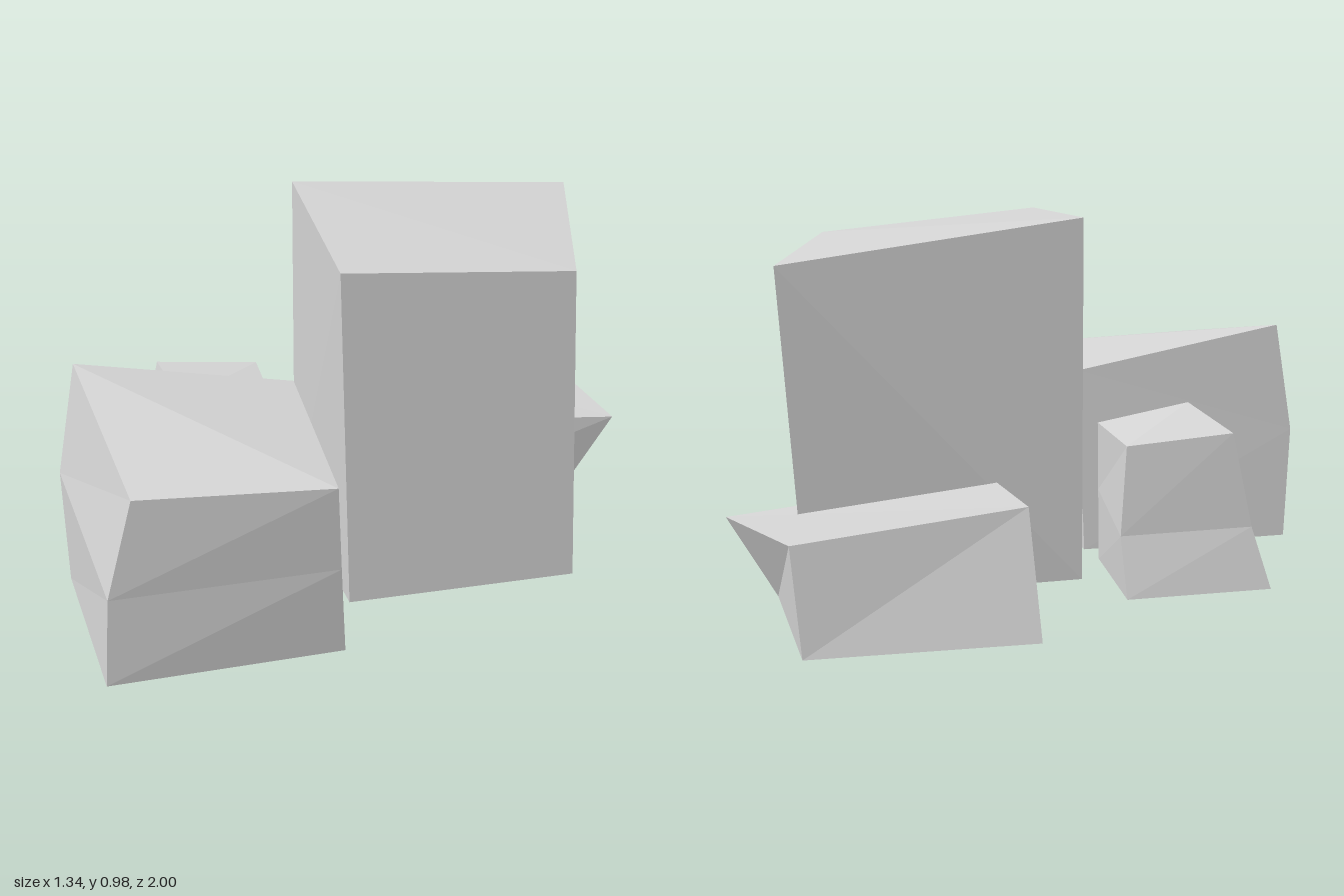
import * as THREE from 'three';

// Each rock is a hollow stack of four-cornered rings, bottom to top, open underneath.
// Ring corners run left, front, right, back; each corner is [x, y, z].
// flips[level] lists the sides whose quad is split along the other diagonal.
const rocks = {
  tallRock: {
    rings: [
      [[-0.2, 0.002, -0.09], [0.235, 0.003, 0.335], [0.67, 0.002, -0.115], [0.315, 0.003, -0.63]],
      [[-0.2, 0.977, -0.09], [0.235, 0.933, 0.382], [0.662, 0.882, -0.065], [0.317, 0.89, -0.727]],
    ],
    flips: [[3]],
    flipTop: false,
  },
  frontRock: {
    rings: [
      [[-0.48, 0, 0.6], [-0.06, 0, 1], [0.35, 0, 0.55], [-0.06, 0, 0.17]],
      [[-0.49, 0.315, 0.61], [-0.045, 0.24, 1], [0.363, 0.25, 0.59], [-0.05, 0.25, 0.167]],
      [[-0.455, 0.62, 0.575], [0.01, 0.505, 0.965], [0.375, 0.487, 0.625], [-0.04, 0.515, 0.165]],
    ],
    flips: [[], [3]],
    flipTop: false,
  },
  smallRock: {
    rings: [
      [[-0.67, 0, 0.095], [-0.36, 0, 0.34], [-0.14, 0, 0.11], [-0.39, 0, -0.185]],
      [[-0.615, 0.165, 0.085], [-0.35, 0.31, 0.31], [-0.14, 0.2, 0.105], [-0.355, 0.16, -0.16]],
      [[-0.573, 0.42, 0.05], [-0.33, 0.437, 0.27], [-0.14, 0.39, 0.1], [-0.36, 0.397, -0.14]],
    ],
    flips: [[0], []],
    flipTop: true,
  },
  backRock: {
    rings: [
      [[-0.38, 0, -0.6], [0.035, 0, -0.2], [0.41, 0, -0.625], [0.045, 0, -1]],
      [[-0.31, 0.322, -0.55], [0.035, 0.28, -0.19], [0.52, 0.215, -0.695], [0.08, 0.275, -0.997]],
    ],
    flips: [[]],
    flipTop: false,
  },
};

function rockGeometry({ rings, flips, flipTop }) {
  const positions = [];
  // Add a quad as two triangles
  const quad = (a, b, c, d, flip) =>
    (flip ? [a, b, d, b, c, d] : [a, b, c, a, c, d]).forEach((p) => positions.push(...p));

  // Sides
  for (let level = 0; level < rings.length - 1; level++) {
    const low = rings[level];
    const high = rings[level + 1];
    for (let i = 0; i < 4; i++) {
      const j = (i + 1) % 4;
      quad(low[i], low[j], high[j], high[i], flips[level].includes(i));
    }
  }
  // Top
  quad(...rings[rings.length - 1], flipTop);

  const geometry = new THREE.BufferGeometry();
  geometry.setAttribute('position', new THREE.Float32BufferAttribute(positions, 3));
  geometry.computeVertexNormals(); // unshared corners give flat facets
  return geometry;
}

export function createModel() {
  const group = new THREE.Group();
  group.name = 'rockCluster';
  const stone = new THREE.MeshStandardMaterial({ color: 0xd5d5d5, side: THREE.DoubleSide });
  stone.name = 'stone grey';

  for (const [name, rock] of Object.entries(rocks)) {
    const mesh = new THREE.Mesh(rockGeometry(rock), stone);
    mesh.name = name;
    group.add(mesh);
  }
  return group;
}
